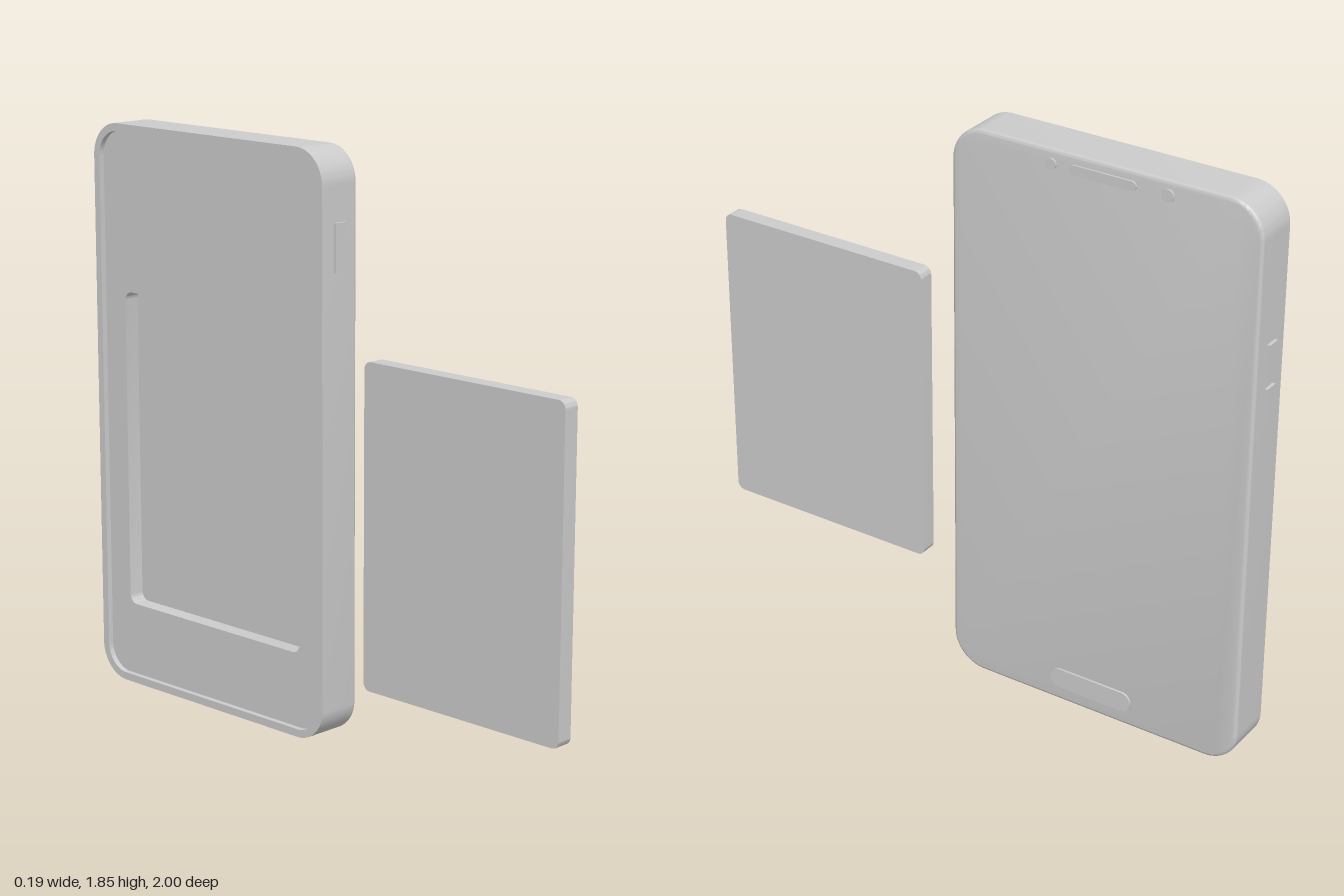
import * as THREE from 'three';
import { toCreasedNormals } from 'three/addons/utils/BufferGeometryUtils.js';

const material = new THREE.MeshStandardMaterial({ color: 0xcccccc });

// Rounded rectangle in the side plane; the shape's horizontal axis is -z.
function outline(Target, z, y, width, height, r) {
  const s = new Target();
  const l = -z - width / 2, b = y - height / 2;
  const rt = l + width, t = b + height;
  s.moveTo(l + r, b);
  s.lineTo(rt - r, b);
  s.absarc(rt - r, b + r, r, -Math.PI / 2, 0);
  s.lineTo(rt, t - r);
  s.absarc(rt - r, t - r, r, 0, Math.PI / 2);
  s.lineTo(l + r, t);
  s.absarc(l + r, t - r, r, Math.PI / 2, Math.PI);
  s.lineTo(l, b + r);
  s.absarc(l + r, b + r, r, Math.PI, Math.PI * 1.5);
  return s;
}

// Slab between x0 and x1 with an optional opening and edge bevel.
function slab(name, x0, x1, rect, hole, bevel = 0) {
  const shape = outline(THREE.Shape, ...rect);
  if (hole) shape.holes.push(outline(THREE.Path, ...hole));
  const geometry = new THREE.ExtrudeGeometry(shape, {
    depth: x1 - x0, curveSegments: 10,
    bevelEnabled: bevel > 0, bevelSize: bevel, bevelOffset: -bevel,
    bevelThickness: bevel, bevelSegments: 3,
  });
  geometry.rotateY(Math.PI / 2);
  geometry.translate(x0, 0, 0);
  const mesh = new THREE.Mesh(toCreasedNormals(geometry, 0.6), material);
  mesh.name = name;
  return mesh;
}

function sideButton(name, y, z, height) {
  const mesh = new THREE.Mesh(new THREE.BoxGeometry(0.045, height, 0.04), material);
  mesh.name = name;
  mesh.position.set(0.012, y, z);
  return mesh;
}

export function createModel() {
  const model = new THREE.Group();
  model.name = 'phoneWithBattery';
  const phone = new THREE.Group();
  phone.name = 'phone';

  const Z = -0.48, Y = 0.9225;
  const body = [Z, Y, 1.02, 1.845, 0.11];
  const cavity = [Z, Y, 0.97, 1.795, 0.085];
  const pocket = [Z, 0.785, 0.785, 1.04, 0.03];

  // Shell: outer frame, recessed back with battery pocket, and core
  phone.add(
    slab('frame', -0.06, 0.07, body, cavity),
    slab('backPanel', -0.042, 0.01, cavity, pocket),
    slab('core', 0.01, 0.07, cavity),
    slab('screen', 0.07, 0.078, body, null, 0.011),
  );

  // Raised details on the screen face
  phone.add(
    slab('homeButton', 0.08, 0.096, [Z, 0.083, 0.285, 0.066, 0.032]),
    slab('earpiece', 0.08, 0.095, [Z, 1.8, 0.22, 0.03, 0.0149]),
    slab('frontCamera', 0.08, 0.095, [-0.69, 1.8, 0.04, 0.04, 0.0199]),
    slab('lightSensor', 0.08, 0.095, [-0.31, 1.8, 0.034, 0.034, 0.0169]),
  );

  // Keys on the two narrow sides
  phone.add(
    sideButton('powerButton', 1.548, 0.018, 0.15),
    sideButton('volumeUpButton', 1.342, -0.98, 0.125),
    sideButton('volumeDownButton', 1.203, -0.98, 0.125),
  );

  // Removed battery beside the phone
  model.add(phone, slab('battery', -0.098, -0.045, [0.62, 0.745, 0.76, 1.01, 0.025]));
  return model;
}
